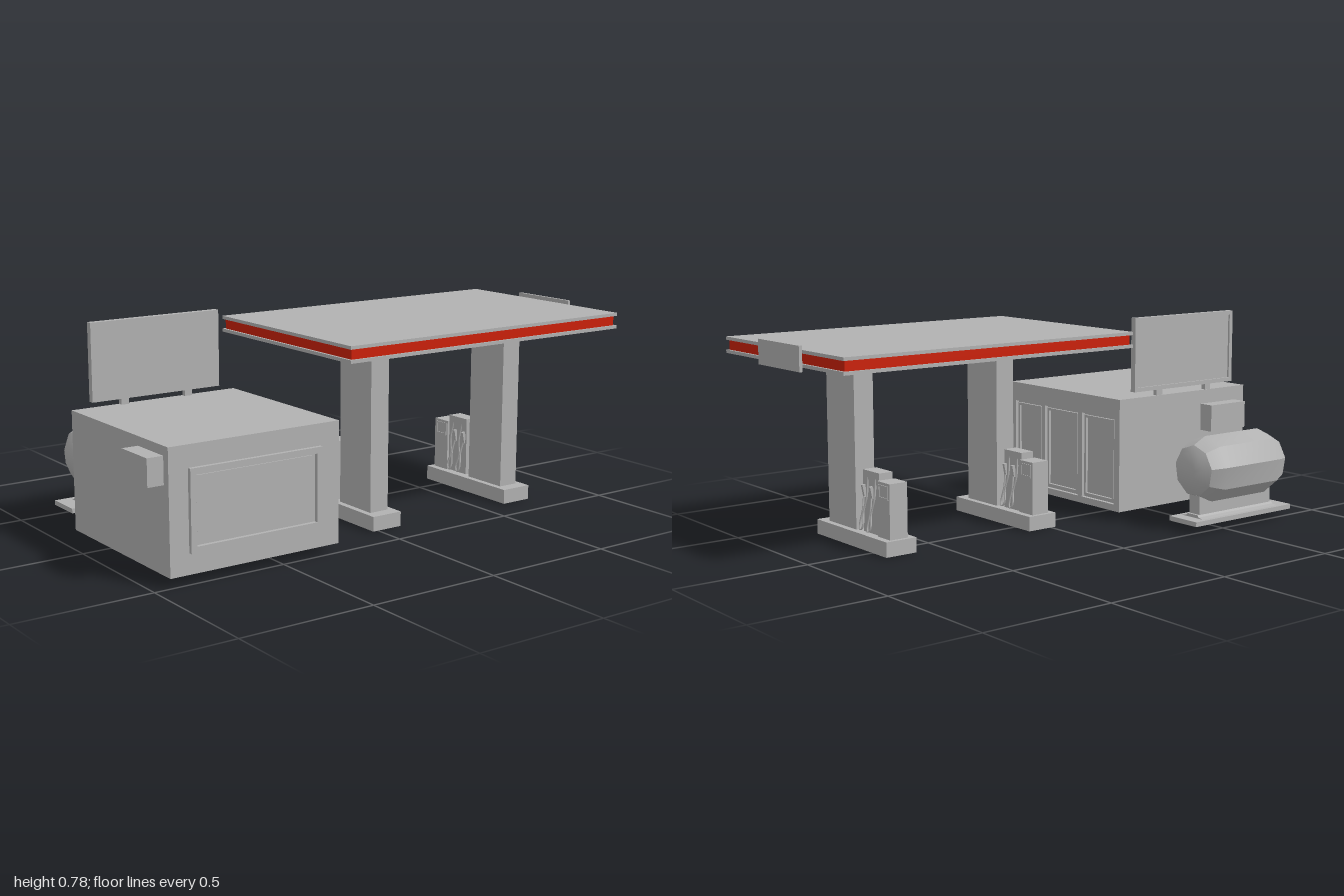
import * as THREE from 'three';
import { toCreasedNormals } from 'three/addons/utils/BufferGeometryUtils.js';

const grey = new THREE.MeshStandardMaterial({ color: 0xb2b2b2 });
grey.name = 'concrete grey';
const red = new THREE.MeshStandardMaterial({ color: 0xcc2008 });
red.name = 'trim red';

function add(parent, name, geometry, material = grey) {
  const mesh = new THREE.Mesh(geometry, material);
  mesh.name = name;
  parent.add(mesh);
  return mesh;
}

// Box given by its limits on each axis
function box(parent, name, [x0, x1], [y0, y1], [z0, z1], material = grey) {
  const geometry = new THREE.BoxGeometry(x1 - x0, y1 - y0, z1 - z0);
  geometry.translate((x0 + x1) / 2, (y0 + y1) / 2, (z0 + z1) / 2);
  return add(parent, name, geometry, material);
}

function rectangle(PathType, x0, x1, y0, y1) {
  return new PathType([[x0, y0], [x1, y0], [x1, y1], [x0, y1]].map((p) => new THREE.Vector2(...p)));
}

// Flat plate in the xy plane with rectangular openings
function plate(outer, holes, depth) {
  const shape = rectangle(THREE.Shape, ...outer);
  for (const hole of holes) shape.holes.push(rectangle(THREE.Path, ...hole));
  return new THREE.ExtrudeGeometry(shape, { depth, bevelEnabled: false });
}

// Rectangular frame of a given border width
function frame(w, h, border, depth) {
  const x = w / 2, y = h / 2;
  return plate([-x, x, -y, y], [[-x + border, x - border, -y + border, y - border]], depth);
}

function makeShop() {
  const shop = new THREE.Group();
  shop.name = 'shop';
  box(shop, 'shopBody', [-0.17, 0.5], [0.034, 0.47], [0.285, 0.94]);

  // Rear wall with three glazed bays
  const bays = [[-0.14, 0.05], [0.075, 0.28], [0.3, 0.47]].map(([a, b]) => [a, b, 0.06, 0.395]);
  add(shop, 'rearWall', plate([-0.17, 0.5, 0.034, 0.47], bays, 0.015)).position.z = 0.27;
  for (const [a, b, y0, y1] of bays) {
    const trim = add(shop, 'bayFrame', frame(b - a - 0.016, y1 - y0 - 0.016, 0.01, 0.01));
    trim.position.set((a + b) / 2, (y0 + y1) / 2, 0.275);
  }

  // Side window
  const window = add(shop, 'sideWindowFrame', frame(0.52, 0.285, 0.022, 0.015));
  window.rotation.y = Math.PI / 2;
  window.position.set(0.5, 0.25, 0.608);
  box(shop, 'sideWindowPane', [0.5, 0.505], [0.135, 0.365], [0.38, 0.84]);

  // Wall units
  box(shop, 'sideWallUnit', [-0.23, -0.17], [0.31, 0.415], [0.7, 0.888]);
  box(shop, 'frontWallUnit', [0.305, 0.47], [0.34, 0.437], [0.94, 1]);

  // Roof board on two short posts
  for (const z of [0.477, 0.738]) {
    box(shop, 'boardPost', [-0.168, -0.15], [0.47, 0.5], [z - 0.015, z + 0.015]);
  }
  box(shop, 'roofBoard', [-0.163, -0.147], [0.492, 0.776], [0.346, 0.869]);
  const rim = add(shop, 'boardRim', frame(0.523, 0.284, 0.016, 0.008));
  rim.rotation.y = -Math.PI / 2;
  rim.position.set(-0.163, 0.634, 0.6075);
  return shop;
}

function makeCanopy() {
  const canopy = new THREE.Group();
  canopy.name = 'canopy';
  box(canopy, 'canopyRoof', [-0.241, 0.567], [0.723, 0.735], [-0.988, 0.27]);
  box(canopy, 'canopyBand', [-0.232, 0.558], [0.687, 0.723], [-0.979, 0.261], red);
  box(canopy, 'canopyCeiling', [-0.241, 0.567], [0.675, 0.687], [-0.988, 0.27]);
  box(canopy, 'canopyRearBoard', [0.022, 0.304], [0.66, 0.75], [-1, -0.988]);
  return canopy;
}

// Island with a column and a two-sided pump, centred on z = 0
function makeIsland() {
  const island = new THREE.Group();
  island.name = 'pumpIsland';
  box(island, 'islandBase', [-0.09, 0.375], [0, 0.055], [-0.063, 0.063]);
  box(island, 'column', [0.14, 0.326], [0.055, 0.676], [-0.04, 0.04]);
  box(island, 'hoseCabinet', [0.003, 0.108], [0.055, 0.28], [-0.028, 0.028]);
  box(island, 'pumpCabinet', [-0.075, 0.003], [0.055, 0.255], [-0.037, 0.037]);

  for (const side of [-1, 1]) {
    // Display on the cabinet
    const display = add(island, 'pumpDisplay', frame(0.062, 0.05, 0.007, 0.004));
    display.position.set(-0.036, 0.22, side > 0 ? 0.036 : -0.04);
    // Hoses hang down and loop back up to their nozzles
    for (const x of [0.028, 0.078]) {
      const points = [[0, 0.255, 0.026], [-0.006, 0.19, 0.036], [0.006, 0.13, 0.044], [-0.004, 0.085, 0.053],
        [0.009, 0.064, 0.057], [0.019, 0.085, 0.052], [0.012, 0.14, 0.043], [0.018, 0.185, 0.034]];
      const curve = new THREE.CatmullRomCurve3(
        points.map(([dx, y, z]) => new THREE.Vector3(x + dx, y, side * z)));
      add(island, 'hose', new THREE.TubeGeometry(curve, 24, 0.0035, 5));
      const nozzle = add(island, 'nozzle', new THREE.BoxGeometry(0.011, 0.045, 0.012));
      nozzle.position.set(x + 0.018, 0.205, side * 0.032);
      nozzle.rotation.x = side * 0.2;
    }
  }
  return island;
}

function makeTank() {
  const tank = new THREE.Group();
  tank.name = 'gasTank';
  // Nine-sided drum with domed ends
  const half = [[0, 0.231], [0.035, 0.227], [0.07, 0.216], [0.097, 0.198], [0.125, 0.14]];
  const profile = [
    ...half.map(([r, y]) => new THREE.Vector2(r, -y)),
    ...half.slice().reverse().map(([r, y]) => new THREE.Vector2(r, y)),
  ];
  const drum = new THREE.LatheGeometry(profile, 9);
  drum.rotateX(-Math.PI / 2);
  drum.rotateZ(Math.PI); // one corner points straight up
  drum.computeBoundingBox();
  if (drum.boundingBox.max.y < 0.124) drum.rotateZ(Math.PI);
  add(tank, 'drum', toCreasedNormals(drum, 0.45)).position.set(-0.448, 0.225, 0.59);

  box(tank, 'tankNeck', [-0.475, -0.422], [0.045, 0.13], [0.4, 0.78]);
  box(tank, 'tankFoot', [-0.52, -0.377], [0.03, 0.048], [0.34, 0.85]);
  // Sloped collar between neck and foot
  const collar = new THREE.Shape(
    [[-0.066, 0.046], [0.066, 0.046], [0.032, 0.052], [0.026, 0.06], [-0.026, 0.06], [-0.032, 0.052]]
      .map((p) => new THREE.Vector2(...p)));
  add(tank, 'tankCollar', new THREE.ExtrudeGeometry(collar, { depth: 0.4, bevelEnabled: false }))
    .position.set(-0.4485, 0, 0.39);
  return tank;
}

export function createModel() {
  const station = new THREE.Group();
  station.name = 'fuelStation';
  station.add(makeShop(), makeCanopy(), makeTank());
  for (const z of [-0.041, -0.675]) {
    const island = makeIsland();
    island.position.z = z;
    station.add(island);
  }
  return station;
}
